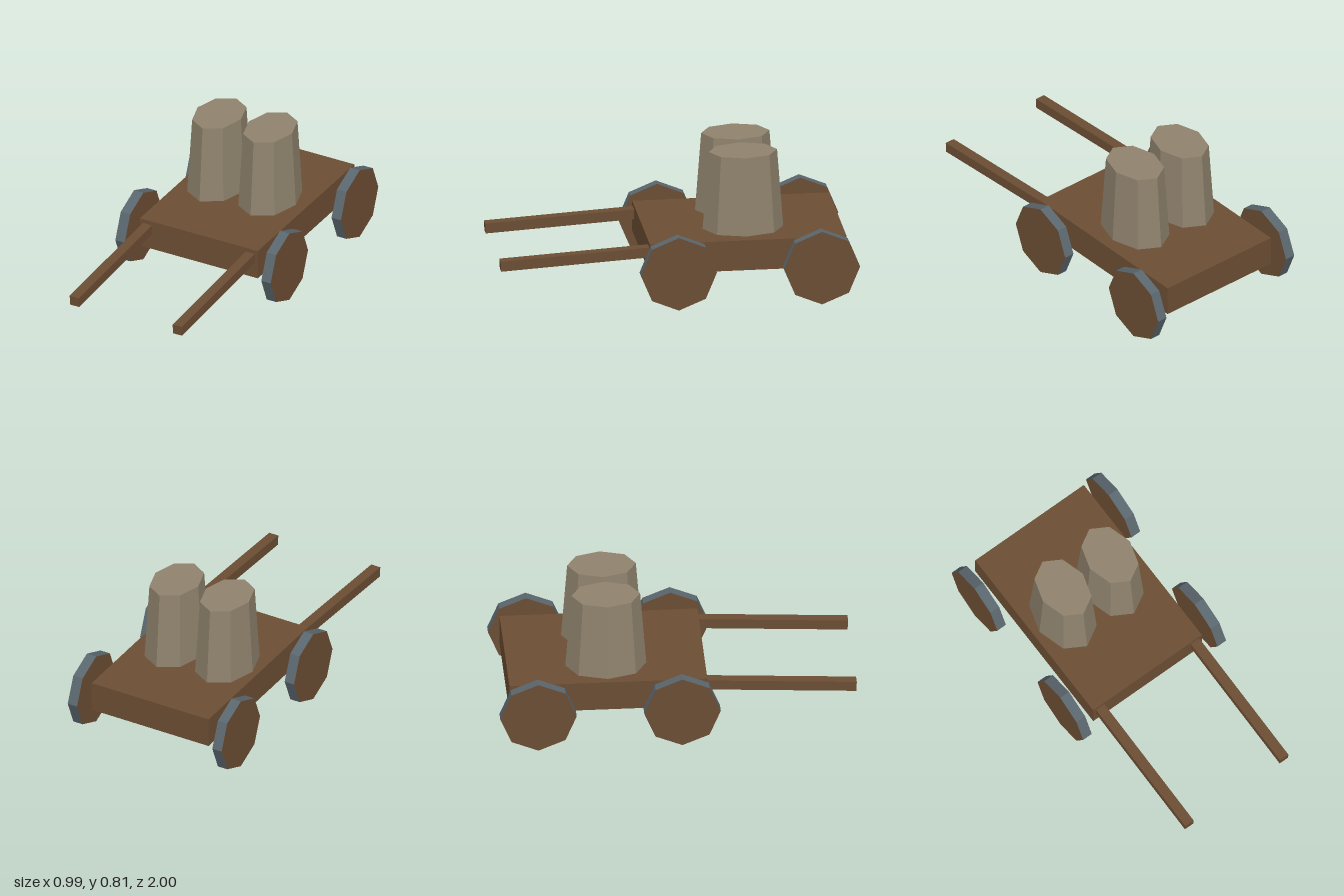
import * as THREE from 'three';

const mat = (name, color, extra = {}) => {
  const m = new THREE.MeshStandardMaterial({ color, flatShading: true, ...extra });
  m.name = name;
  return m;
};

export function createModel() {
  const wood = mat('brown wood', 0x6b4d33, { side: THREE.DoubleSide });
  const iron = mat('grey iron', 0x5a666d);
  const clay = mat('tan barrel', 0x8f826d);
  const model = new THREE.Group();
  model.name = 'handcart';

  const add = (name, geometry, material, x, y, z) => {
    const mesh = new THREE.Mesh(geometry, material);
    mesh.name = name;
    mesh.position.set(x, y, z);
    model.add(mesh);
    return mesh;
  };

  // Cart bed: a shell with no underside (the -y face is dropped)
  const bed = new THREE.BoxGeometry(0.752, 0.175, 1.105);
  const index = Array.from(bed.index.array);
  index.splice(18, 6);
  bed.setIndex(index);
  bed.clearGroups();
  add('bed', bed, wood, 0, 0.267, -0.388);

  // Eight-sided wheels: iron rim, wooden faces
  const wheel = new THREE.CylinderGeometry(0.2135, 0.2135, 0.06, 8);
  wheel.rotateZ(Math.PI / 2);
  for (const side of [-1, 1]) {
    for (const [name, z] of [['frontWheel', 0.017], ['backWheel', -0.787]]) {
      add(name, wheel, [iron, wood, wood], side * 0.465, 0.2135, z);
    }

    // Pull shafts, sloping down to the front and poking through the front board
    const shaft = add('shaft', new THREE.BoxGeometry(0.058, 0.058, 0.87), wood, side * 0.328, 0.279, 0.564);
    shaft.rotation.x = 0.056;

    // Iron rails inside, under the deck
    add('rail', new THREE.BoxGeometry(0.02, 0.03, 1.06), iron, side * 0.345, 0.333, -0.39);
  }

  // Two tapered oval barrels
  const barrel = new THREE.CylinderGeometry(0.138, 0.163, 0.453, 8);
  barrel.scale(1, 1, 1.39);
  for (const x of [-0.177, 0.148]) add('barrel', barrel, clay, x, 0.5795, -0.388);

  return model;
}
